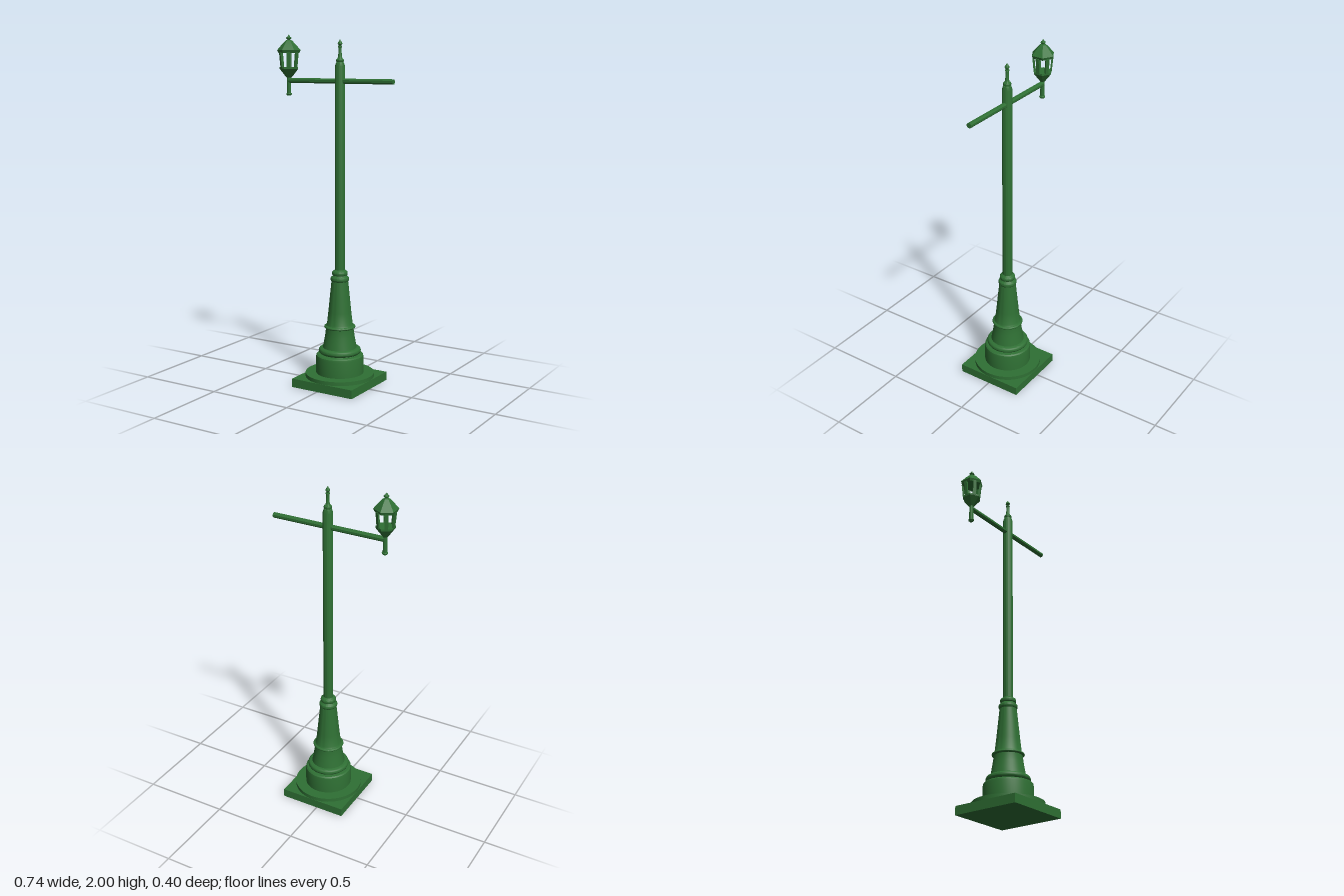
import * as THREE from 'three';
import { toCreasedNormals } from 'three/addons/utils/BufferGeometryUtils.js';

const POST_X = 0.03;
const LAMP_X = -0.312;

export function createModel() {
  const model = new THREE.Group();
  model.name = 'streetLamp';
  const paint = new THREE.MeshStandardMaterial({ color: 0x2f7034, side: THREE.DoubleSide });

  const add = (parent, name, geometry, x = 0, y = 0, z = 0) => {
    const mesh = new THREE.Mesh(geometry, paint);
    mesh.name = name;
    mesh.position.set(x, y, z);
    parent.add(mesh);
    return mesh;
  };
  // Turned part from [radius, height] pairs
  const turned = (points, sides = 48, crease = 0.6) => toCreasedNormals(
    new THREE.LatheGeometry(points.map(([r, y]) => new THREE.Vector2(r, y)), sides), crease);
  // Half-round bead on a profile, bulging outwards
  const bead = (r, y0, y1, bulge) => Array.from({ length: 9 }, (_, i) => {
    const a = (i / 8) * Math.PI;
    return [r + bulge * Math.sin(a), (y0 + y1) / 2 - ((y1 - y0) / 2) * Math.cos(a)];
  });

  // Post and its base
  const post = new THREE.Group();
  post.name = 'post';
  post.position.x = POST_X;
  model.add(post);
  add(post, 'plinth', new THREE.BoxGeometry(0.398, 0.05, 0.398), 0, 0.025);
  add(post, 'plinthDisc', turned([[0, 0.05], [0.198, 0.05], [0.198, 0.072], [0, 0.072]], 64));
  add(post, 'baseDrum', turned([
    [0.137, 0.07], [0.137, 0.165], [0.135, 0.176], [0.128, 0.182], [0.108, 0.184],
    ...bead(0.106, 0.186, 0.22, 0.016), [0.09, 0.222],
  ]));
  add(post, 'pedestal', turned([
    [0.098, 0.218], [0.092, 0.25], [0.085, 0.29], [0.079, 0.333],
    ...bead(0.079, 0.335, 0.351, 0.011),
    [0.074, 0.36], [0.066, 0.43], [0.057, 0.52], [0.048, 0.608],
    ...bead(0.045, 0.608, 0.636, 0.008),
    [0.041, 0.64], ...bead(0.039, 0.644, 0.668, 0.006), [0.028, 0.676],
  ]));
  add(post, 'shaft', turned([[0.028, 0.66], [0.028, 1.825], [0.022, 1.845]], 32));
  add(post, 'finial', turned([
    [0.022, 1.845], ...bead(0.018, 1.848, 1.864, 0.004), [0.014, 1.868],
    [0.01, 1.88], [0.009, 1.925], ...bead(0.007, 1.927, 1.936, 0.005),
    [0.007, 1.939], [0.013, 1.947], [0.012, 1.953], [0.005, 1.964], [0, 1.972],
  ], 24));

  // Cross arm running through the post
  const armStart = LAMP_X, armEnd = 0.368;
  const arm = new THREE.CylinderGeometry(0.0152, 0.0152, armEnd - armStart, 8);
  arm.rotateY(Math.PI / 8);
  arm.rotateZ(Math.PI / 2);
  add(model, 'crossArm', toCreasedNormals(arm, 0.6), (armStart + armEnd) / 2, 1.743);

  // Six-sided lantern at one end of the arm
  const lantern = new THREE.Group();
  lantern.name = 'lantern';
  lantern.position.x = LAMP_X;
  model.add(lantern);
  add(lantern, 'lampStem', turned([
    [0, 1.658], [0.012, 1.658], ...bead(0.012, 1.66, 1.672, 0.005), [0.012, 1.675], [0.012, 1.77],
  ], 16));
  add(lantern, 'lanternCup', turned([
    [0.014, 1.758], [0.022, 1.768], [0.053, 1.808], [0.053, 1.818], [0, 1.818],
  ], 6, 0.1));
  add(lantern, 'lanternRoof', turned([
    [0, 1.898], [0.06, 1.898], [0.067, 1.914], [0.062, 1.92],
    [0.036, 1.95], [0.018, 1.968], [0.012, 1.971], [0, 1.972],
  ], 6, 0.1));
  add(lantern, 'lanternFinial', turned([
    [0.008, 1.968], [0.008, 1.974], [0.015, 1.979], [0.015, 1.984], [0.007, 1.989], [0.005, 1.995], [0, 2],
  ], 6, 0.1));

  // Bars leaning outwards between cup and roof
  for (let i = 0; i < 6; i++) {
    const angle = Math.PI / 6 + (i * Math.PI) / 3;
    const dir = new THREE.Vector3(Math.sin(angle), 0, Math.cos(angle));
    const foot = dir.clone().multiplyScalar(0.044).setY(1.812);
    const head = dir.clone().multiplyScalar(0.053).setY(1.904);
    const bar = new THREE.BoxGeometry(0.019, foot.distanceTo(head), 0.01);
    bar.rotateX(Math.atan2(0.053 - 0.044, 1.904 - 1.812));
    bar.rotateY(angle);
    const mid = foot.add(head).multiplyScalar(0.5);
    add(lantern, 'lanternBar', bar, mid.x, mid.y, mid.z);
  }
  return model;
}
